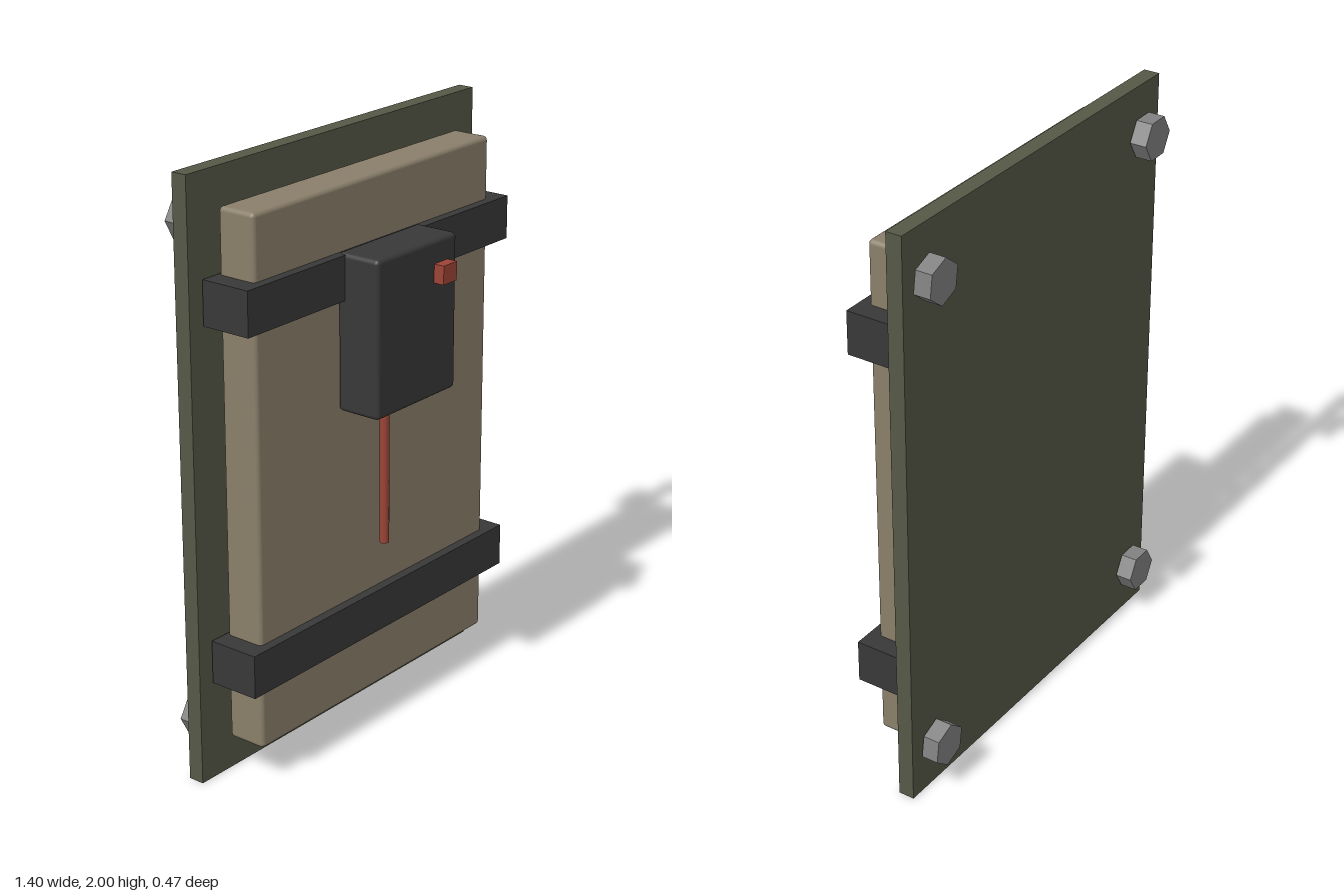
import * as THREE from 'three';
import { RoundedBoxGeometry } from 'three/addons/geometries/RoundedBoxGeometry.js';

const material = (name, color, flat = false) => {
  const m = new THREE.MeshStandardMaterial({ color, flatShading: flat });
  m.name = name;
  return m;
};

export function createModel() {
  const group = new THREE.Group();
  const olive = material('olive', 0x555846);
  const tan = material('tan', 0x8a7f6a);
  const black = material('black', 0x383838);
  const red = material('red', 0x9c4436);
  const steel = material('steel', 0x808080, true);

  const add = (name, geometry, mat, x, y, z) => {
    const mesh = new THREE.Mesh(geometry, mat);
    mesh.name = name;
    mesh.position.set(x, y, z);
    group.add(mesh);
    return mesh;
  };

  // Backing plate and padded slab
  add('backPlate', new THREE.BoxGeometry(1.4, 2, 0.055), olive, 0, 1, -0.143);
  add('slab', new RoundedBoxGeometry(1.165, 1.76, 0.138, 2, 0.015), tan, 0, 1.004, -0.031);

  // Straps across the slab
  for (const [name, y] of [['lowerStrap', 0.415], ['upperStrap', 1.6]]) {
    add(name, new THREE.BoxGeometry(1.3, 0.146, 0.176), black, 0, y, -0.018);
  }

  // Control box with button and hanging wire
  add('controlBox', new RoundedBoxGeometry(0.4, 0.518, 0.158, 2, 0.015), black, 0, 1.419, 0.119);
  add('button', new THREE.BoxGeometry(0.068, 0.062, 0.04), red, 0.116, 1.57, 0.215);
  add('wire', new THREE.CylinderGeometry(0.016, 0.016, 0.56, 8), red, 0, 0.93, 0.068);

  // Hexagonal bolts at the back corners
  const boltGeometry = new THREE.CylinderGeometry(0.074, 0.074, 0.058, 6).rotateX(Math.PI / 2);
  const bolts = [[-1, 0.175, 0.5], [1, 0.175, 0.15], [-1, 1.83, 0.5], [1, 1.83, 0.15]];
  for (const [side, y, turn] of bolts) {
    add('bolt', boltGeometry, steel, side * 0.591, y, -0.208).rotation.z = turn;
  }

  return group;
}
